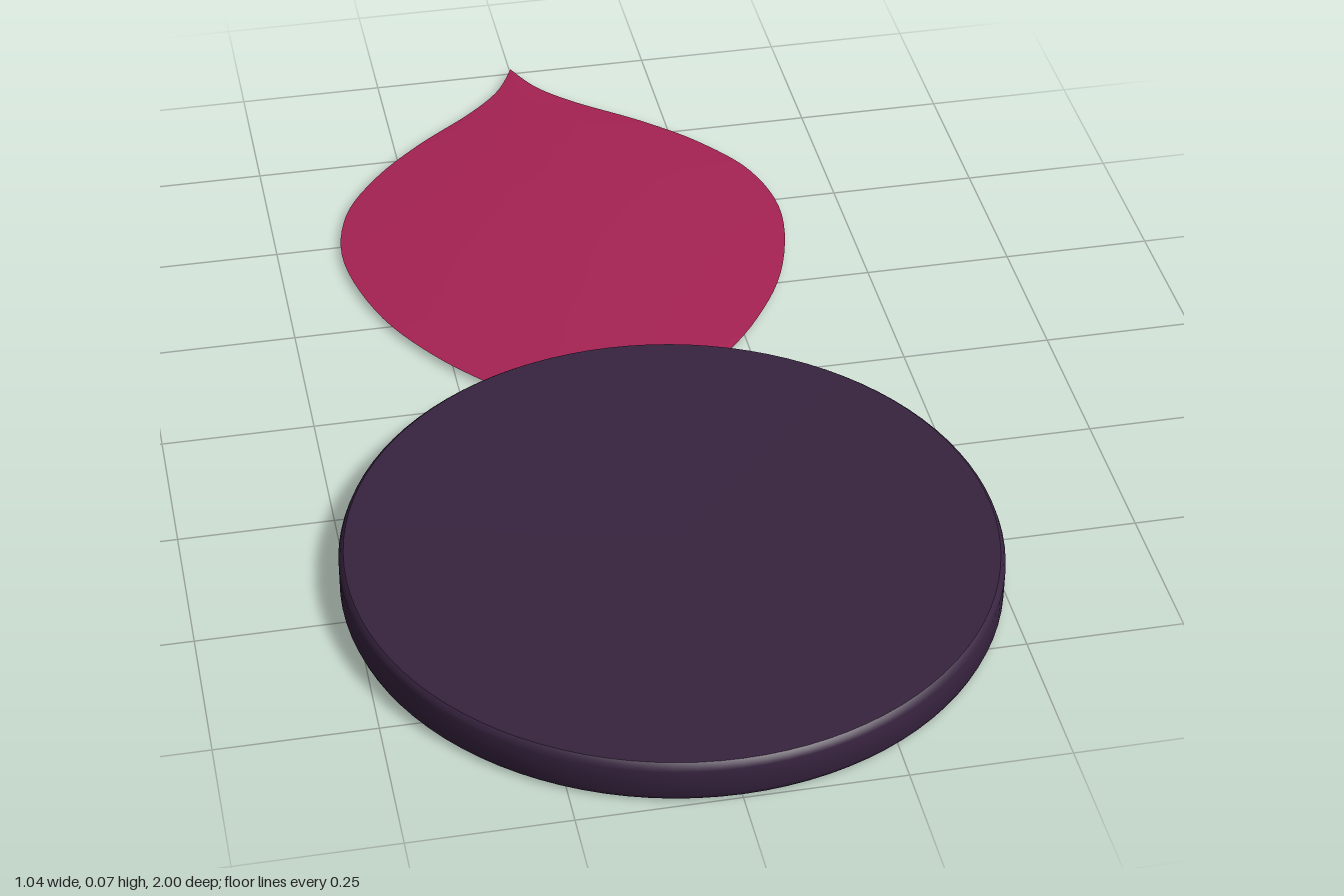
import * as THREE from 'three';
import { toCreasedNormals } from 'three/addons/utils/BufferGeometryUtils.js';

// Half outline of the petal as (half width, z), from its hidden root to its tip
const OUTLINE = [
  [0, 0.14], [0.08, 0.08], [0.165, -0.01], [0.27, -0.13], [0.35, -0.27], [0.39, -0.44],
  [0.367, -0.58], [0.297, -0.69], [0.207, -0.78], [0.1, -0.865], [0.037, -0.93], [0, -1],
];

// Thin sheet, gently domed across its width and along its length
function petalGeometry(rows = 64, cols = 12) {
  const curve = new THREE.SplineCurve(OUTLINE.map(([x, z]) => new THREE.Vector2(x, z)));
  const geometry = new THREE.PlaneGeometry(1, 1, cols, rows);
  const pos = geometry.attributes.position;
  for (let i = 0; i <= rows; i++) {
    const p = curve.getPoint(1 - i / rows);
    const halfWidth = Math.max(p.x, 0);
    for (let j = 0; j <= cols; j++) {
      const s = (j / cols) * 2 - 1;
      const lift = 0.012 * (1 - s * s) * Math.min(1, halfWidth / 0.39);
      pos.setXYZ(i * (cols + 1) + j, s * halfWidth, 0.01 + lift, p.y);
    }
  }
  geometry.computeVertexNormals();
  return geometry;
}

export function createModel() {
  const plum = new THREE.MeshStandardMaterial({ name: 'dark plum', color: 0x37233f });
  const crimson = new THREE.MeshStandardMaterial({
    name: 'crimson', color: 0xa62253, side: THREE.DoubleSide,
  });

  const group = new THREE.Group();
  group.name = 'discWithPetal';

  // Flat round disc with softened rims
  const profile = [
    [0, 0], [0.51, 0], [0.515, 0.004], [0.518, 0.012],
    [0.518, 0.058], [0.515, 0.066], [0.51, 0.07], [0, 0.07],
  ].map(([r, y]) => new THREE.Vector2(r, y));
  const disc = new THREE.Mesh(toCreasedNormals(new THREE.LatheGeometry(profile, 96), 0.6), plum);
  disc.name = 'disc';
  disc.position.z = 0.482;
  group.add(disc);

  // Pointed petal tucked into the back of the disc
  const petal = new THREE.Mesh(petalGeometry(), crimson);
  petal.name = 'petal';
  group.add(petal);

  return group;
}
